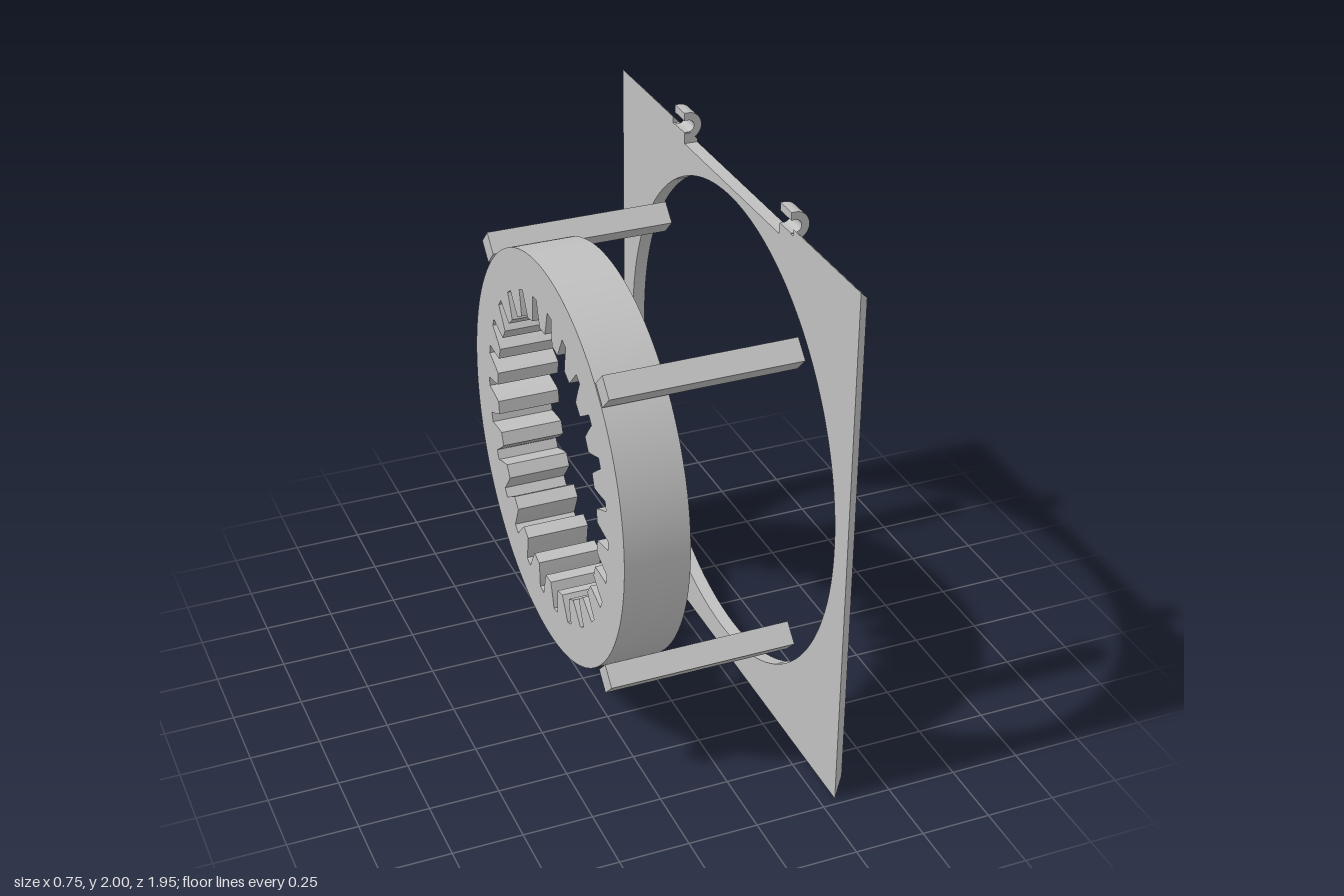
import * as THREE from 'three';
import { toCreasedNormals } from 'three/addons/utils/BufferGeometryUtils.js';
import { ConvexGeometry } from 'three/addons/geometries/ConvexGeometry.js';

const CY = 0.976;               // height of the common axis
const BACK = 0.305, FACE = 0.353; // the two sides of the plate along x
const HALF = 0.973, INNER = 0.924; // half size of plate, outside and inside its bevel

export function createModel() {
  const group = new THREE.Group();
  const grey = new THREE.MeshStandardMaterial({ color: 0xc0c0c0 });
  grey.name = 'grey';

  const add = (name, geometry) => {
    const mesh = new THREE.Mesh(geometry, grey);
    mesh.name = name;
    group.add(mesh);
    return mesh;
  };
  const extrude = (shape, depth) => toCreasedNormals(
    new THREE.ExtrudeGeometry(shape, { depth, bevelEnabled: false, curveSegments: 96 }), 0.35);
  // extrude along x, with shape coordinates (-z, y - CY)
  const extrudeX = (shape, x0, x1) =>
    extrude(shape, x1 - x0).rotateY(Math.PI / 2).translate(x0, CY, 0);
  const hull = (points) => new ConvexGeometry(points.map((p) => new THREE.Vector3(...p)));

  // Square plate with a round opening and a shallow recess in its top edge
  const plate = new THREE.Shape();
  [[-INNER, -INNER], [INNER, -INNER], [INNER, INNER], [0.39, INNER], [0.39, INNER - 0.012],
    [-0.39, INNER - 0.012], [-0.39, INNER], [-INNER, INNER]]
    .forEach(([u, v], i) => (i ? plate.lineTo(u, v) : plate.moveTo(u, v)));
  plate.closePath();
  const opening = new THREE.Path();
  opening.absarc(0, 0, 0.88, 0, Math.PI * 2, true);
  plate.holes.push(opening);
  add('plate', extrudeX(plate, BACK, FACE));

  // Mitred bevels along the bottom and the two sides
  for (const turn of [1, 2, 3]) {
    const points = [];
    for (const s of [-1, 1]) {
      points.push([BACK, HALF, s * HALF], [BACK, INNER, s * INNER], [FACE, INNER, s * INNER]);
    }
    add('edgeBevel', hull(points).rotateX(turn * Math.PI / 2).translate(0, CY, 0));
  }

  for (const s of [-1, 1]) {
    // Top bevel, interrupted between the hooks
    const top = [[BACK, HALF, s * HALF], [BACK, INNER, s * INNER], [FACE, INNER, s * INNER],
      [BACK, HALF, s * 0.495], [BACK, INNER, s * 0.495], [FACE, INNER, s * 0.495]];
    add('topBevel', hull(top).translate(0, CY, 0));

    // Low step that carries the hook
    const step = [];
    for (const z of [0.39, 0.495]) {
      step.push([BACK, INNER, s * z], [FACE, INNER, s * z],
        [FACE - 0.025, INNER + 0.025, s * z], [BACK, INNER + 0.025, s * z]);
    }
    add('hookStep', hull(step).translate(0, CY, 0));

    // Hook, open towards the ring
    const hx = 0.32, hy = 1.95, outer = 0.05, inner = 0.022;
    const hook = new THREE.Shape();
    hook.moveTo(BACK, hy - outer);
    hook.lineTo(hx, hy - outer);
    hook.absarc(hx, hy, outer, -Math.PI / 2, Math.PI / 2, false);
    hook.lineTo(BACK, hy + outer);
    hook.lineTo(BACK, hy + inner);
    hook.absarc(hx, hy, inner, Math.PI / 2, -Math.PI / 2, true);
    hook.lineTo(BACK, hy - inner);
    hook.closePath();
    const geo = new THREE.ExtrudeGeometry(hook, { depth: 0.084, bevelEnabled: false, curveSegments: 16 });
    add('hook', toCreasedNormals(geo, 0.35).translate(0, 0, s * 0.436 - 0.042));
  }

  // Internal gear ring: each tooth is given as radius and half angle
  const ring = new THREE.Shape();
  ring.absarc(0, 0, 0.74, 0, Math.PI * 2, false);
  const teeth = 26;
  const flank = [[0.595, 0.09], [0.565, 0.081], [0.53, 0.067], [0.5, 0.05]];
  const outline = [];
  for (let i = 0; i < teeth; i++) {
    const mid = Math.PI / 2 + (i / teeth) * Math.PI * 2;
    const at = (r, a) => outline.push(new THREE.Vector2(r * Math.cos(mid + a), r * Math.sin(mid + a)));
    flank.forEach(([r, a]) => at(r, -a));
    [...flank].reverse().forEach(([r, a]) => at(r, a));
  }
  ring.holes.push(new THREE.Path(outline));
  add('gearRing', extrudeX(ring, -0.375, -0.143));

  // Three square rods along the rim of the ring
  for (const [sy, sz] of [[1, 1], [1, -1], [-1, 1]]) {
    const rod = add('rod', new THREE.BoxGeometry(0.68, 0.083, 0.083));
    rod.position.set(-0.035, CY + sy * 0.559, sz * 0.559);
    rod.rotation.x = Math.PI / 4;
  }

  return group;
}
